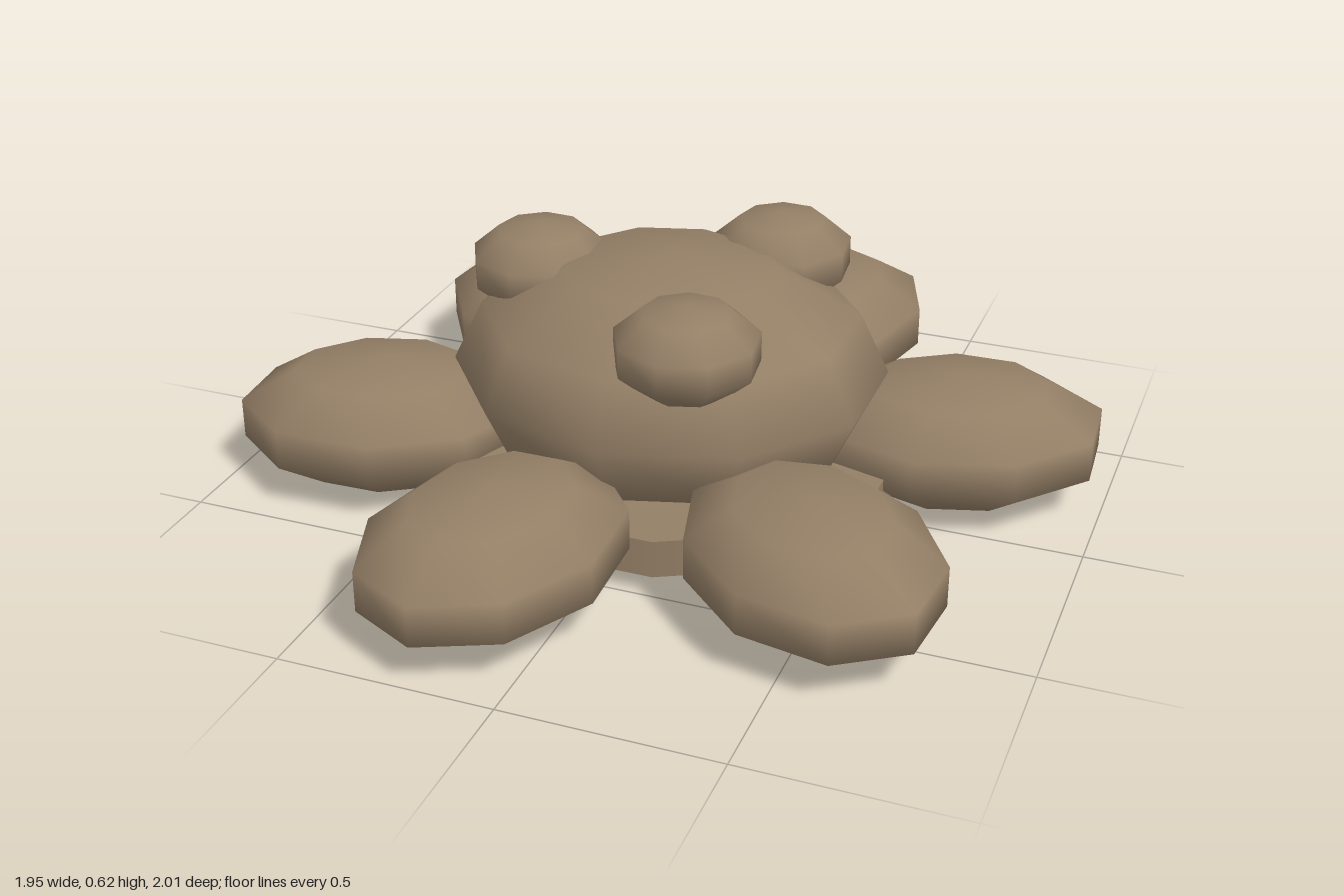
import * as THREE from 'three';

export function createModel() {
  const model = new THREE.Group();
  const clay = new THREE.MeshStandardMaterial({ color: 0x947f66 });
  clay.name = 'brown clay';

  const add = (name, geometry, x = 0, y = 0, z = 0, turn = 0) => {
    const mesh = new THREE.Mesh(geometry, clay);
    mesh.name = name;
    mesh.position.set(x, y, z);
    mesh.rotation.y = turn;
    model.add(mesh);
  };

  // Coarse smooth ellipsoid with upright poles and a vertex at -z
  const blob = (sides, rings, sx, sy, sz) =>
    new THREE.SphereGeometry(1, sides, rings).rotateY(-Math.PI / 2).scale(sx, sy, sz);

  // Evenly spaced copies around the vertical axis
  const ring = (name, geometry, count, radius, y, startDegrees) => {
    for (let i = 0; i < count; i++) {
      const a = THREE.MathUtils.degToRad(startDegrees + (i * 360) / count);
      add(name + (i + 1), geometry, Math.cos(a) * radius, y, -Math.sin(a) * radius, a);
    }
  };

  // Central dome
  add('dome', blob(10, 6, 0.515, 0.29, 0.465), 0, 0.31, 0);

  // Flat plate beneath the dome
  const plate = new THREE.CylinderGeometry(1, 1, 0.09, 12).rotateY(Math.PI / 12);
  add('basePlate', plate.scale(0.56, 1, 0.51), 0, 0.09, 0);

  // Six flattened petals around the base
  ring('petal', blob(9, 5, 0.363, 0.155, 0.275), 6, 0.68, 0.155, 17);

  // Three knobs on the dome
  ring('knob', blob(9, 5, 0.176, 0.11, 0.173), 3, 0.33, 0.51, 57);

  return model;
}
